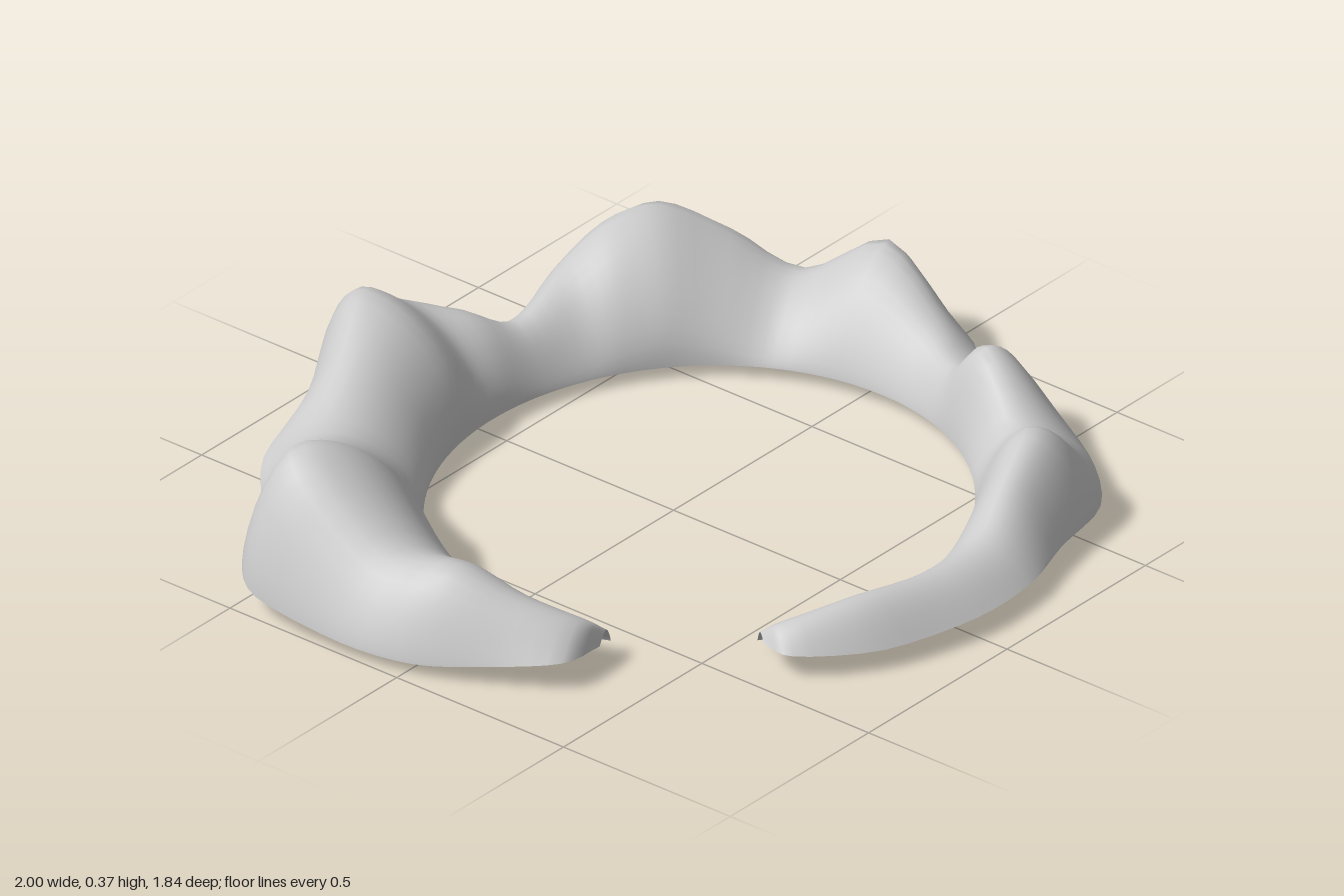
import * as THREE from 'three';

// Outer foot of the ridge, from one tip round to the other: [x, y, z]
const FOOT = [
  [-0.67, 0.06, 0.335], [-0.80, 0.07, 0.33], [-0.90, 0.05, 0.18], [-0.97, 0.03, 0.02],
  [-1.00, 0.03, -0.17], [-0.99, 0.05, -0.43], [-0.92, 0.08, -0.53], [-0.78, 0.12, -0.59],
  [-0.59, 0.13, -0.74], [-0.35, 0.16, -0.81], [-0.15, 0.20, -0.91], [0.00, 0.20, -0.91],
  [0.12, 0.14, -0.81], [0.24, 0.10, -0.73], [0.46, 0.00, -0.79], [0.60, 0.04, -0.74],
  [0.72, 0.06, -0.65], [0.82, 0.09, -0.50], [0.91, 0.10, -0.34], [1.00, 0.07, -0.13],
  [0.92, 0.10, 0.12], [0.81, 0.12, 0.26], [0.83, 0.09, 0.40], [0.73, 0.06, 0.64],
  [0.58, 0.05, 0.80], [0.38, 0.05, 0.85], [0.20, 0.05, 0.905], [0.00, 0.05, 0.91],
  [-0.25, 0.05, 0.84], [-0.42, 0.06, 0.71], [-0.42, 0.06, 0.62],
];
// Crest above each foot point: [height, place between outer foot (0) and inner
// foot (1), slope power (below 1 is a fuller dome)]
const CREST = [
  [0.08, 0.5, 1], [0.13, 0.5, 1], [0.18, 0.45, 0.9], [0.23, 0.45, 0.8],
  [0.22, 0.45, 0.75], [0.34, 0.38, 0.65], [0.37, 0.32, 0.65], [0.29, 0.38, 0.7],
  [0.20, 0.42, 0.85], [0.275, 0.32, 0.75], [0.345, 0.25, 0.6], [0.26, 0.28, 0.65],
  [0.22, 0.4, 0.8], [0.165, 0.45, 0.9], [0.21, 0.38, 0.85], [0.285, 0.3, 0.75],
  [0.305, 0.21, 0.65], [0.235, 0.18, 0.7], [0.165, 0.35, 0.9], [0.275, 0.28, 0.9],
  [0.18, 0.42, 0.9], [0.15, 0.5, 0.9], [0.25, 0.55, 0.85], [0.15, 0.55, 0.9],
  [0.255, 0.54, 0.85], [0.205, 0.54, 0.9], [0.13, 0.55, 1], [0.125, 0.55, 1],
  [0.14, 0.55, 1], [0.11, 0.5, 1], [0.07, 0.5, 1],
];
const INNER = { x: 0.015, z: 0.065, rx: 0.66, rz: 0.62, y: 0.03 };
const ALONG = (FOOT.length - 1) * 4;
const ACROSS = 18;

const spline = (points) =>
  new THREE.CatmullRomCurve3(points.map((p) => new THREE.Vector3(...p)), false, 'catmullrom', 0.45);

// Height across the ridge: a dome that drops more steeply to the inner foot
function profile(t, foot, [height, at, power]) {
  const [base, q, slope] = t < at
    ? [foot, t / at, power]
    : [INNER.y, (1 - t) / (1 - at), power * 0.85];
  return base + (height - base) * Math.sin(q * Math.PI / 2) ** slope;
}

function ridgeGeometry() {
  const footCurve = spline(FOOT);
  const crestCurve = spline(CREST);
  const positions = [];
  const index = [];
  for (let i = 0; i <= ALONG; i++) {
    const foot = footCurve.getPoint(i / ALONG);
    const crest = crestCurve.getPoint(i / ALONG).toArray();
    // Inner foot: the point of the inner ellipse facing this outer foot
    const dx = foot.x - INNER.x;
    const dz = foot.z - INNER.z;
    const k = Math.hypot(dx / INNER.rx, dz / INNER.rz);
    const ix = INNER.x + dx / k;
    const iz = INNER.z + dz / k;
    for (let j = 0; j <= ACROSS; j++) {
      const t = (1 - Math.cos((j / ACROSS) * Math.PI)) / 2; // finer near both feet
      positions.push(
        THREE.MathUtils.lerp(foot.x, ix, t),
        Math.max(0, profile(t, foot.y, crest)),
        THREE.MathUtils.lerp(foot.z, iz, t),
      );
      if (i < ALONG && j < ACROSS) {
        const a = i * (ACROSS + 1) + j;
        const b = a + ACROSS + 1;
        index.push(a, a + 1, b, b, a + 1, b + 1);
      }
    }
  }
  const geometry = new THREE.BufferGeometry();
  geometry.setAttribute('position', new THREE.Float32BufferAttribute(positions, 3));
  geometry.setIndex(index);
  geometry.computeVertexNormals();
  return geometry;
}

export function createModel() {
  const group = new THREE.Group();
  group.name = 'mountainRing';
  // Hollow shell, open underneath
  const material = new THREE.MeshStandardMaterial({ color: 0xcccccc, side: THREE.DoubleSide });
  const ridge = new THREE.Mesh(ridgeGeometry(), material);
  ridge.name = 'mountainRidge';
  group.add(ridge);
  return group;
}
